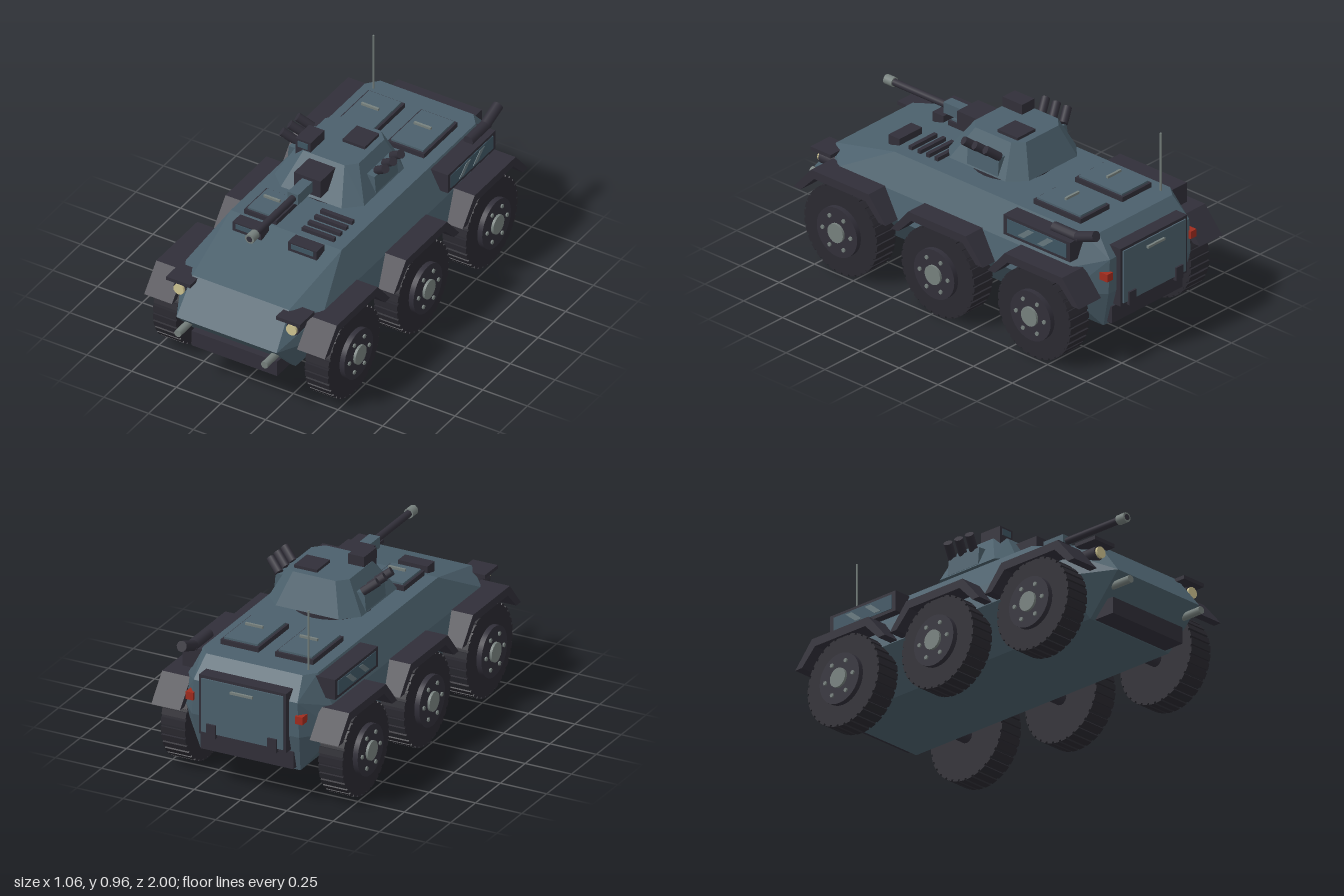
import * as THREE from 'three';
import { ConvexGeometry } from 'three/addons/geometries/ConvexGeometry.js';

const paint = (name, color, extra = {}) => Object.assign(new THREE.MeshStandardMaterial({ color, ...extra }), { name });
const M = {
  armour: paint('armour blue grey', 0x4b606c),
  dark: paint('dark trim', 0x312f39),
  tyre: paint('tyre rubber', 0x2a2930),
  metal: paint('bare metal', 0x76807d),
  lamp: paint('headlight cream', 0xcfc491),
  red: paint('tail light red', 0xa02c1e),
  glass: paint('glass', 0x3f5663),
  streak: paint('glass highlight', 0x66777d),
};

export function createModel() {
  const root = new THREE.Group();
  root.name = 'armouredCar';

  const add = (name, geo, mat, x = 0, y = 0, z = 0, parent = root) => {
    const m = new THREE.Mesh(geo, mat);
    m.name = name;
    m.position.set(x, y, z);
    parent.add(m);
    return m;
  };
  // Box given by its limits on each axis
  const box = (name, mat, x0, x1, y0, y1, z0, z1, parent) =>
    add(name, new THREE.BoxGeometry(x1 - x0, y1 - y0, z1 - z0), mat,
      (x0 + x1) / 2, (y0 + y1) / 2, (z0 + z1) / 2, parent);
  // Cylinder running between two points
  const rod = (name, mat, a, b, r, sides = 12, parent) => {
    const p = new THREE.Vector3(...a), q = new THREE.Vector3(...b);
    const d = q.clone().sub(p);
    const m = add(name, new THREE.CylinderGeometry(r, r, d.length(), sides), mat, 0, 0, 0, parent);
    m.position.copy(p).add(q).multiplyScalar(0.5);
    m.quaternion.setFromUnitVectors(new THREE.Vector3(0, 1, 0), d.normalize());
    return m;
  };
  // Faceted solid from corners mirrored in x
  const solid = (corners) => new ConvexGeometry(corners.flatMap(([x, y, z]) =>
    [new THREE.Vector3(x, y, z), new THREE.Vector3(-x, y, z)]));
  // Outline in (z, y) extruded along x, centred on x = 0
  const slab = (pts, width) => {
    const g = new THREE.ExtrudeGeometry(new THREE.Shape(pts.map((p) => new THREE.Vector2(...p))),
      { depth: width, bevelEnabled: false });
    return g.translate(0, 0, -width / 2).rotateY(-Math.PI / 2);
  };

  // Hull
  add('hull', solid([
    [0.27, 0.175, 0.76], [0.27, 0.175, -0.9],
    [0.28, 0.37, 0.95], [0.42, 0.37, 0.68], [0.42, 0.37, -0.8], [0.29, 0.37, -0.95],
    [0.27, 0.54, 0.82], [0.39, 0.5, 0.7], [0.39, 0.5, -0.8], [0.28, 0.55, -0.95],
    [0.31, 0.655, 0.41], [0.31, 0.655, -0.8], [0.26, 0.655, -0.86],
  ]), M.armour);
  box('frontBumper', M.dark, -0.24, 0.24, 0.178, 0.262, 0.74, 0.88);
  box('rearBumper', M.dark, -0.25, 0.25, 0.19, 0.28, -0.935, -0.88);

  // Wheels and mudguards
  const lugs = 32;
  const treadOutline = [];
  for (let i = 0; i < lugs; i++) {
    for (const [f, r] of [[0, 0.235], [0.7, 0.235], [0.72, 0.226], [0.98, 0.226]]) {
      const a = ((i + f) / lugs) * Math.PI * 2;
      treadOutline.push([Math.cos(a) * r, Math.sin(a) * r]);
    }
  }
  const tyreGeo = slab(treadOutline, 0.13);
  const guardGeo = slab([
    [-0.295, 0.375], [-0.185, 0.505], [0.185, 0.505], [0.295, 0.375],
    [0.25, 0.375], [0.165, 0.462], [-0.165, 0.462], [-0.25, 0.375],
  ].reverse(), 0.155);
  for (const z of [0.59, -0.035, -0.655]) {
    rod('axle', M.dark, [-0.4, 0.225, z], [0.4, 0.225, z], 0.035);
    for (const s of [-1, 1]) {
      const wheel = new THREE.Group();
      wheel.name = 'wheel';
      wheel.position.set(s * 0.425, 0.235, z);
      wheel.rotation.y = s < 0 ? Math.PI : 0;
      root.add(wheel);
      add('tyre', tyreGeo, M.tyre, 0, 0, 0, wheel);
      rod('rim', M.dark, [0.05, 0, 0], [0.092, 0, 0], 0.13, 28, wheel);
      rod('hub', M.metal, [0.05, 0, 0], [0.105, 0, 0], 0.05, 20, wheel);
      for (let i = 0; i < 6; i++) {
        const a = (i + 0.5) * Math.PI / 3;
        const y = Math.cos(a) * 0.09, w = Math.sin(a) * 0.09;
        rod('wheelBolt', M.metal, [0.08, y, w], [0.1, y, w], 0.011, 6, wheel);
      }
      add('mudguard', guardGeo, M.dark, s * 0.4275, 0, z - 0.007);
    }
  }

  // Parts mirrored on both sides of the hull
  for (const s of [-1, 1]) {
    const pair = (a, b) => (s > 0 ? [a, b] : [-b, -a]);
    // Headlights and tow hooks
    box('headlightGuard', M.dark, ...pair(0.24, 0.375), 0.516, 0.535, 0.76, 0.89);
    rod('headlightHousing', M.dark, [s * 0.315, 0.472, 0.74], [s * 0.315, 0.472, 0.862], 0.036, 16);
    rod('headlight', M.lamp, [s * 0.315, 0.472, 0.85], [s * 0.315, 0.472, 0.875], 0.029, 16);
    rod('towHook', M.metal, [s * 0.243, 0.317, 0.86], [s * 0.243, 0.317, 1.0], 0.019);
    // Vision blocks on the upper glacis
    box('visionBlock', M.dark, ...pair(0.075, 0.235), 0.63, 0.68, 0.445, 0.515);
    box('visionGlass', M.glass, ...pair(0.093, 0.217), 0.648, 0.673, 0.513, 0.519);
    // Side window with two slanted highlights
    box('sideWindowFrame', M.dark, ...pair(0.3, 0.412), 0.54, 0.645, -0.815, -0.385);
    box('sideWindow', M.glass, ...pair(0.41, 0.415), 0.556, 0.63, -0.79, -0.41);
    for (const z of [-0.53, -0.655]) {
      add('windowHighlight', slab([[z - 0.055, 0.62], [z - 0.015, 0.62], [z + 0.05, 0.567], [z + 0.01, 0.567]].reverse(), 0.004),
        M.streak, s * 0.4155);
    }
    // Rear deck hatches
    box('rearHatchFrame', M.dark, ...pair(0.045, 0.25), 0.65, 0.68, -0.735, -0.43);
    box('rearHatchLid', M.armour, ...pair(0.057, 0.238), 0.67, 0.69, -0.722, -0.443);
    box('rearHatchHandle', M.metal, ...pair(0.1, 0.195), 0.708, 0.72, -0.592, -0.58);
    // Rear lights and door hinges
    box('tailLight', M.red, ...pair(0.275, 0.315), 0.447, 0.487, -0.965, -0.91);
    box('doorHinge', M.dark, ...pair(0.14, 0.19), 0.285, 0.355, -0.995, -0.94);
  }

  // Rear door
  box('rearDoorFrame', M.dark, -0.235, 0.235, 0.29, 0.6, -0.978, -0.88);
  box('rearDoor', M.armour, -0.22, 0.22, 0.305, 0.585, -0.985, -0.97);
  box('rearDoorHandle', M.metal, -0.06, 0.06, 0.54, 0.552, -0.997, -0.98);

  // Driver hatch and engine vent slats
  box('driverHatchFrame', M.dark, -0.242, -0.06, 0.65, 0.68, 0.195, 0.4);
  box('driverHatchLid', M.armour, -0.23, -0.072, 0.67, 0.69, 0.207, 0.388);
  box('driverHatchHandle', M.metal, -0.195, -0.105, 0.708, 0.72, 0.29, 0.302);
  for (let i = 0; i < 4; i++) {
    const z = 0.2 + i * 0.055;
    box('ventSlat', M.dark, 0.065, 0.245, 0.65, 0.675, z - 0.011, z + 0.011);
  }

  // Exhaust and aerial
  rod('exhaustPipe', M.dark, [0.355, 0.655, -0.66], [0.355, 0.655, -0.83], 0.027, 12);
  rod('exhaustTip', M.dark, [0.355, 0.655, -0.81], [0.355, 0.7, -0.93], 0.027, 12);
  rod('aerial', M.metal, [-0.255, 0.65, -0.79], [-0.255, 0.965, -0.79], 0.005, 8);

  // Turret
  rod('turretRing', M.dark, [0, 0.65, -0.07], [0, 0.715, -0.07], 0.2, 28);
  add('turret', solid([
    [0.25, 0.708, 0.11], [0.17, 0.708, 0.185], [0.25, 0.708, -0.25], [0.17, 0.708, -0.33],
    [0.165, 0.87, 0.02], [0.115, 0.87, 0.07], [0.165, 0.87, -0.21], [0.115, 0.87, -0.26],
  ]), M.armour);
  box('turretHatch', M.dark, 0.005, 0.13, 0.86, 0.885, -0.22, -0.09);
  box('sightBox', M.dark, -0.163, -0.077, 0.825, 0.923, -0.06, 0.065);
  box('sightGlass', M.glass, -0.147, -0.093, 0.88, 0.912, 0.063, 0.069);

  // Gun
  box('mantlet', M.dark, -0.074, 0.074, 0.755, 0.85, 0.05, 0.22);
  box('gunSleeve', M.armour, -0.029, 0.029, 0.775, 0.833, 0.2, 0.35);
  rod('gunBarrel', M.dark, [0, 0.805, 0.34], [0, 0.805, 0.7], 0.018, 14);
  rod('muzzle', M.metal, [0, 0.805, 0.69], [0, 0.805, 0.742], 0.025, 14);
  rod('muzzleBore', M.dark, [0, 0.805, 0.735], [0, 0.805, 0.745], 0.015, 14);

  // Smoke launchers on wedge brackets
  for (const s of [-1, 1]) {
    add('launcherBracket', new ConvexGeometry([-0.2, 0.0].flatMap((z) =>
      [[0.18, 0.81], [0.24, 0.805], [0.248, 0.715], [0.18, 0.715]].map(([x, y]) => new THREE.Vector3(s * x, y, z)))), M.armour);
    for (const z of [-0.17, -0.1, -0.03]) {
      rod('smokeLauncher', M.dark, [s * 0.225, 0.81, z - 0.02], [s * 0.29, 0.862, z + 0.012], 0.022, 10);
    }
  }
  return root;
}
